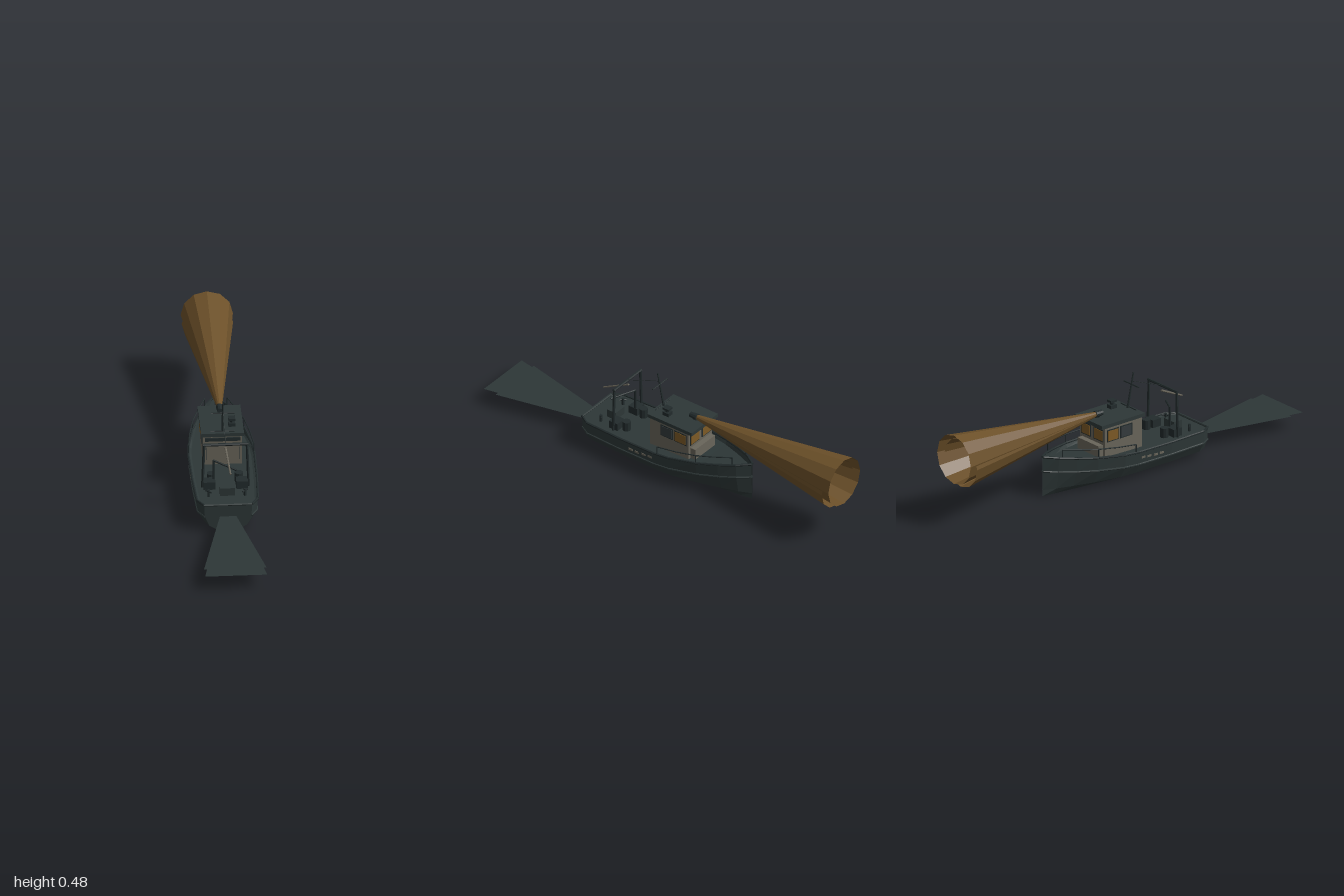
import * as THREE from 'three';

const mat = (name, color, double = false) => {
  const m = new THREE.MeshStandardMaterial({ color });
  m.name = name;
  m.flatShading = true;
  if (double) m.side = THREE.DoubleSide;
  return m;
};

export function createModel() {
  const boat = new THREE.Group();
  boat.name = 'fishingBoat';
  const paint = mat('hullPaint', 0x2d3737, true);
  const dark = mat('darkMetal', 0x222b2c);
  const wall = mat('cabinWall', 0x69655a);
  const glow = mat('litWindow', 0x7d5a26);
  const glass = mat('darkGlass', 0x343b3d);
  const beam = mat('lightBeam', 0x6c5029, true);

  const V = (x, y, z) => new THREE.Vector3(x, y, z);
  const add = (name, geo, material, x = 0, y = 0, z = 0) => {
    const m = new THREE.Mesh(geo, material);
    m.name = name;
    m.position.set(x, y, z);
    boat.add(m);
    return m;
  };
  const box = (name, material, w, h, d, x, y, z) =>
    add(name, new THREE.BoxGeometry(w, h, d), material, x, y, z);
  const rod = (name, a, b, r, material = dark, r2 = r, sides = 6) => {
    const dir = b.clone().sub(a);
    const m = add(name, new THREE.CylinderGeometry(r2, r, dir.length(), sides), material);
    m.position.copy(a).add(b).multiplyScalar(0.5);
    m.quaternion.setFromUnitVectors(V(0, 1, 0), dir.normalize());
  };
  const path = (name, pts, r, material = dark) => {
    for (let i = 1; i < pts.length; i++) rod(name, pts[i - 1], pts[i], r, material);
  };
  // surface through rows of points
  const loft = (name, rows, material) => {
    const n = rows[0].length, index = [];
    for (let i = 0; i < rows.length - 1; i++)
      for (let j = 0; j < n - 1; j++) {
        const a = i * n + j, b = a + n;
        index.push(a, a + 1, b, a + 1, b + 1, b);
      }
    const geo = new THREE.BufferGeometry().setFromPoints(rows.flat());
    geo.setIndex(index);
    geo.computeVertexNormals();
    add(name, geo, material);
  };

  // hull stations from stern to bow: z, half width, sheer height
  const stations = [
    [0.45, 0.112, 0.142], [0.4, 0.142, 0.142], [0.2, 0.151, 0.143], [0, 0.154, 0.147],
    [-0.08, 0.149, 0.152], [-0.22, 0.12, 0.166], [-0.32, 0.083, 0.178], [-0.4, 0.046, 0.189], [-0.46, 0.003, 0.196],
  ];
  const at = (z) => {
    const i = Math.max(1, stations.findIndex((s) => s[0] <= z));
    const [z0, w0, y0] = stations[i - 1], [z1, w1, y1] = stations[i];
    const t = (z0 - z) / (z0 - z1);
    return [w0 + (w1 - w0) * t, y0 + (y1 - y0) * t];
  };
  const section = ([z, w, top]) => {
    const fine = Math.max(0, (-z - 0.05) / 0.41);
    return [[1, top], [0.97 - 0.05 * fine, 0.081 + (top - 0.143) * 0.8],
      [0.78 - 0.2 * fine, 0.031], [0.32 - 0.12 * fine, 0]].map(([f, y]) => V(f * w, y, z));
  };
  const flip = (p) => V(-p.x, p.y, p.z);
  const half = stations.map(section);
  loft('hull', half.map((s) => [...s, ...s.slice().reverse().map(flip)]), paint);
  loft('transom', half[0].map((p) => [flip(p), p]), paint);
  // deck sits lower than the bow, leaving a bulwark around the foredeck
  const deckEdge = stations.map(([z, w, y]) => V(w * 0.9, 0.137 + (y - 0.142) * 0.4, Math.max(z, -0.445)));
  loft('deck', deckEdge.map((p) => [flip(p), p]), paint);
  for (const s of [1, -1]) {
    const side = (k) => half.map((h) => V(s * h[k].x, h[k].y, h[k].z));
    const inner = deckEdge.map((p) => V(s * p.x, p.y, p.z));
    const top = side(0);
    loft('bulwark', top.map((p, i) => (s > 0 ? [inner[i], p] : [p, inner[i]])), paint);
    path('gunwale', top, 0.006);
    path('rubRail', side(1), 0.005, paint);
    // bow railing
    const rail = [-0.02, -0.12, -0.22, -0.3, -0.385].map((z) => {
      const [w, y] = at(z);
      return { foot: V(s * w, y, z), top: V(s * w, y + 0.043, z) };
    });
    path('bowRail', rail.map((p) => p.top), 0.003);
    [0, 2, 4].forEach((i) => rod('railPost', rail[i].foot, rail[i].top, 0.003));
    // worn pale patches on the topsides
    [[0.135, 0.109, 0.024], [0.1, 0.109, 0.022], [0.06, 0.113, 0.022], [0.025, 0.116, 0.022]].forEach(([z, y, d]) =>
      box('palePatch', wall, 0.008, 0.01, d, s * 0.1495, y, z));
  }
  rod('sternRail', V(-0.112, 0.142, 0.45), V(0.112, 0.142, 0.45), 0.006, paint);

  // wheelhouse
  box('cabin', wall, 0.18, 0.16, 0.225, 0, 0.215, -0.045);
  box('cabinTrunk', wall, 0.15, 0.06, 0.03, 0, 0.17, -0.17);
  box('roof', paint, 0.2, 0.018, 0.26, 0, 0.299, -0.053);
  box('aftEave', dark, 0.165, 0.017, 0.008, 0, 0.273, 0.07);
  for (const s of [1, -1]) {
    [[-0.03, glass], [-0.11, glow]].forEach(([z, m]) => {
      box('windowFrame', dark, 0.004, 0.06, 0.072, s * 0.091, 0.245, z);
      box('sideWindow', m, 0.004, 0.05, 0.062, s * 0.093, 0.245, z);
    });
    rod('doorHandrail', V(s * 0.077, 0.17, 0.077), V(s * 0.077, 0.235, 0.077), 0.002);
    box('frontWindowFrame', dark, 0.07, 0.06, 0.004, s * 0.045, 0.245, -0.1585);
    box('frontWindow', glow, 0.06, 0.05, 0.004, s * 0.045, 0.245, -0.1605);
  }

  // roof fittings and mast
  box('ventBase', dark, 0.032, 0.018, 0.035, 0.047, 0.317, 0);
  rod('ventNeck', V(0.047, 0.32, 0), V(0.047, 0.342, 0), 0.01);
  box('ventCap', dark, 0.032, 0.01, 0.035, 0.047, 0.344, 0);
  rod('searchlightStand', V(0, 0.305, -0.12), V(0, 0.325, -0.12), 0.006);
  rod('searchlight', V(0, 0.326, -0.1), V(0, 0.326, -0.142), 0.013, dark, 0.017, 10);
  rod('mast', V(0, 0.3, 0.055), V(0, 0.477, 0.092), 0.006, dark, 0.004);
  rod('mastYard', V(-0.054, 0.42, 0.08), V(0.054, 0.42, 0.08), 0.0035);
  rod('lowerYard', V(-0.055, 0.312, 0.062), V(0.055, 0.312, 0.062), 0.003);
  rod('stay', V(0, 0.435, 0.085), V(0, 0.363, 0.27), 0.0012);

  // stern gantry, boom and derrick
  for (const s of [1, -1])
    rod('gantryLeg', V(s * 0.108, 0.135, 0.27), V(s * 0.1, 0.362, 0.27), 0.007);
  rod('gantryBeam', V(-0.106, 0.361, 0.27), V(0.106, 0.361, 0.27), 0.007);
  rod('cargoBoom', V(0, 0.34, 0.262), V(0.015, 0.274, 0.4), 0.005, wall, 0.004);
  rod('derrickPost', V(-0.055, 0.135, 0.265), V(-0.055, 0.276, 0.265), 0.006);
  rod('derrickArm', V(-0.055, 0.274, 0.265), V(0.048, 0.255, 0.33), 0.005);

  // deck gear
  box('hatch', paint, 0.07, 0.042, 0.05, 0.003, 0.156, 0.335);
  for (const s of [1, -1]) {
    rod('barrel', V(s * 0.065, 0.135, 0.225), V(s * 0.065, 0.184, 0.225), 0.02, dark, 0.02, 10);
    box('gearBox', dark, 0.055, 0.04, 0.05, s * 0.076, 0.156, 0.275);
    rod('bollard', V(s * 0.085, 0.135, 0.36), V(s * 0.085, 0.172, 0.36), 0.007);
    rod('bollardBar', V(s * 0.072, 0.163, 0.372), V(s * 0.098, 0.163, 0.348), 0.004);
  }

  // searchlight beam: two overlapping open cones
  const cone = (name, end, r) => {
    const geo = new THREE.CylinderGeometry(r, 0.012, 1, 12, 1, true);
    geo.rotateX(-Math.PI / 2);
    const p = geo.attributes.position;
    for (let i = 0; i < p.count; i++) {
      const t = 0.5 - p.getZ(i);
      p.setXYZ(i, p.getX(i), p.getY(i) + 0.326 + (end.y - 0.326) * t, -0.14 + (end.z + 0.14) * t);
    }
    geo.computeVertexNormals();
    add(name, geo, beam);
  };
  cone('longBeam', V(0, 0.326, -1), 0.122);
  cone('lowBeam', V(0, 0.3, -0.96), 0.12);

  // wake: two flat fans behind the stern
  const fan = (name, y, z, w) =>
    loft(name, [[V(-0.028, y, 0.4), V(0.028, y, 0.4)], [V(-w, y, z), V(w, y, z)]], paint);
  fan('longWake', 0.079, 1, 0.145);
  fan('wideWake', 0.077, 0.93, 0.146);

  return boat;
}
